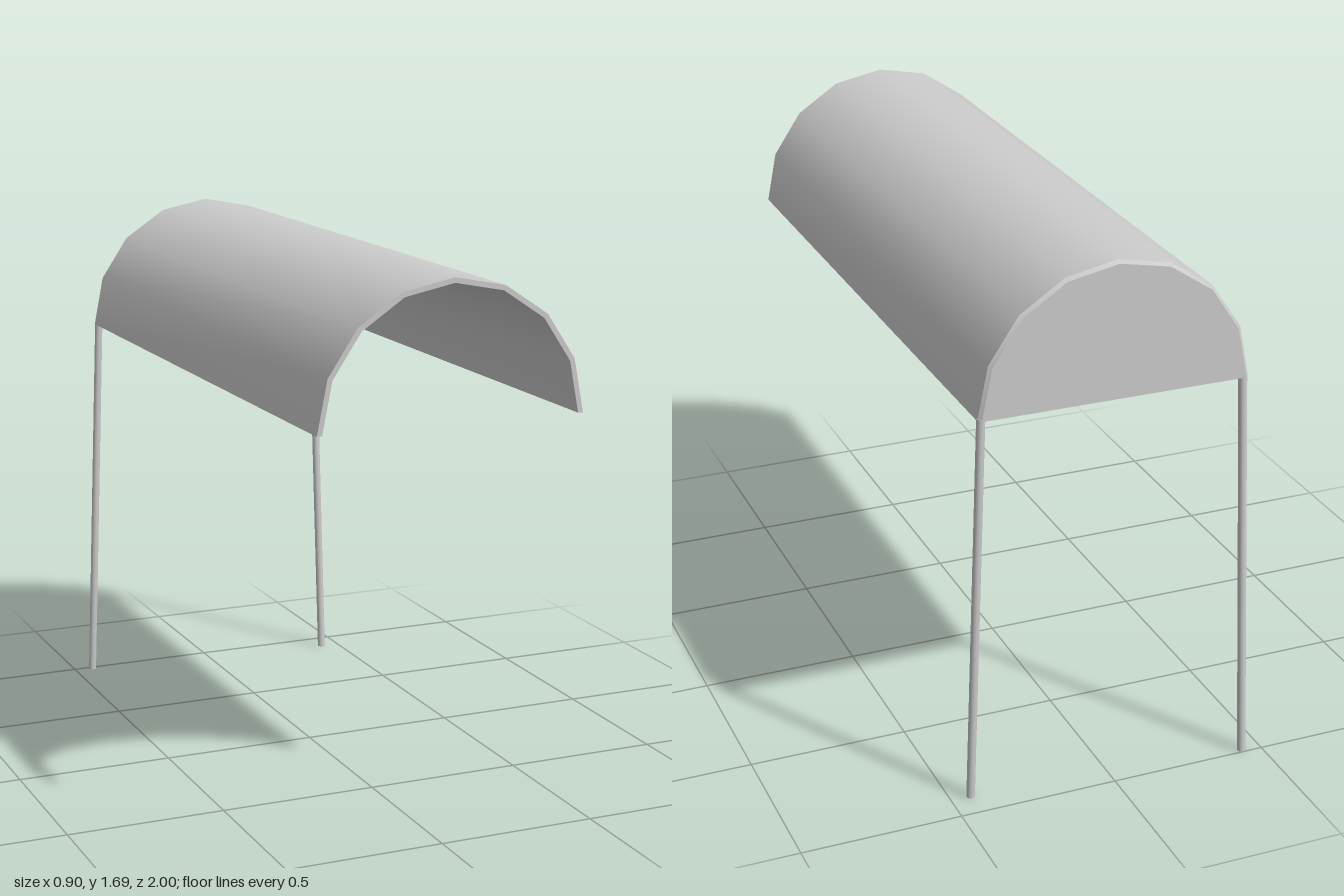
import * as THREE from 'three';
import { toCreasedNormals } from 'three/addons/utils/BufferGeometryUtils.js';

const EAVE = 1.268; // height of the canopy's lower edge
const CENTRE_X = 0.015;

// Half shell profile as [radius, z]: inside of end wall, front rim, outside, back bevel
const PROFILE = [
  [0, -0.966], [0.404, -0.966], [0.404, 1], [0.42, 1],
  [0.42, -0.97], [0.41, -0.98], [0, -0.98],
];

// Tapering-free round post between two points, with level ends
function post(bottom, top, radius) {
  const height = top.y - bottom.y;
  const geo = new THREE.CylinderGeometry(radius, radius, height, 12);
  geo.translate(0, height / 2, 0);
  const shear = new THREE.Matrix4().set(
    1, (top.x - bottom.x) / height, 0, bottom.x,
    0, 1, 0, bottom.y,
    0, (top.z - bottom.z) / height, 1, bottom.z,
    0, 0, 0, 1,
  );
  return geo.applyMatrix4(shear);
}

export function createModel() {
  const model = new THREE.Group();
  const material = new THREE.MeshStandardMaterial({ color: 0xcccccc });
  const add = (name, geometry, parent = model) => {
    const mesh = new THREE.Mesh(geometry, material);
    mesh.name = name;
    parent.add(mesh);
    return mesh;
  };

  // Canopy: eight-sided half barrel, closed by a wall at the back
  const canopy = new THREE.Group();
  canopy.name = 'canopy';
  canopy.position.set(CENTRE_X, EAVE, 0);
  model.add(canopy);

  const points = PROFILE.map(([r, z]) => new THREE.Vector2(r, -z));
  const shell = new THREE.LatheGeometry(points, 8, -Math.PI / 2, Math.PI);
  shell.rotateX(-Math.PI / 2);
  add('canopyShell', toCreasedNormals(shell, 0.5), canopy);

  // Underside of the two eaves and the end wall, one U-shaped face
  const half = PROFILE.slice(1, -1);
  const outline = [
    ...half.map(([r, z]) => new THREE.Vector2(r, z)),
    ...half.map(([r, z]) => new THREE.Vector2(-r, z)).reverse(),
  ];
  const underside = new THREE.ShapeGeometry(new THREE.Shape(outline));
  underside.rotateX(Math.PI / 2);
  add('canopyUnderside', underside, canopy);

  // Two slightly splayed legs under the back corners
  const V = (x, y, z) => new THREE.Vector3(x, y, z);
  add('leftLeg', post(V(0.437, 0, -0.912), V(0.423, EAVE + 0.005, -0.966), 0.013));
  add('rightLeg', post(V(-0.437, 0, -0.987), V(-0.393, EAVE + 0.005, -0.962), 0.013));

  return model;
}
